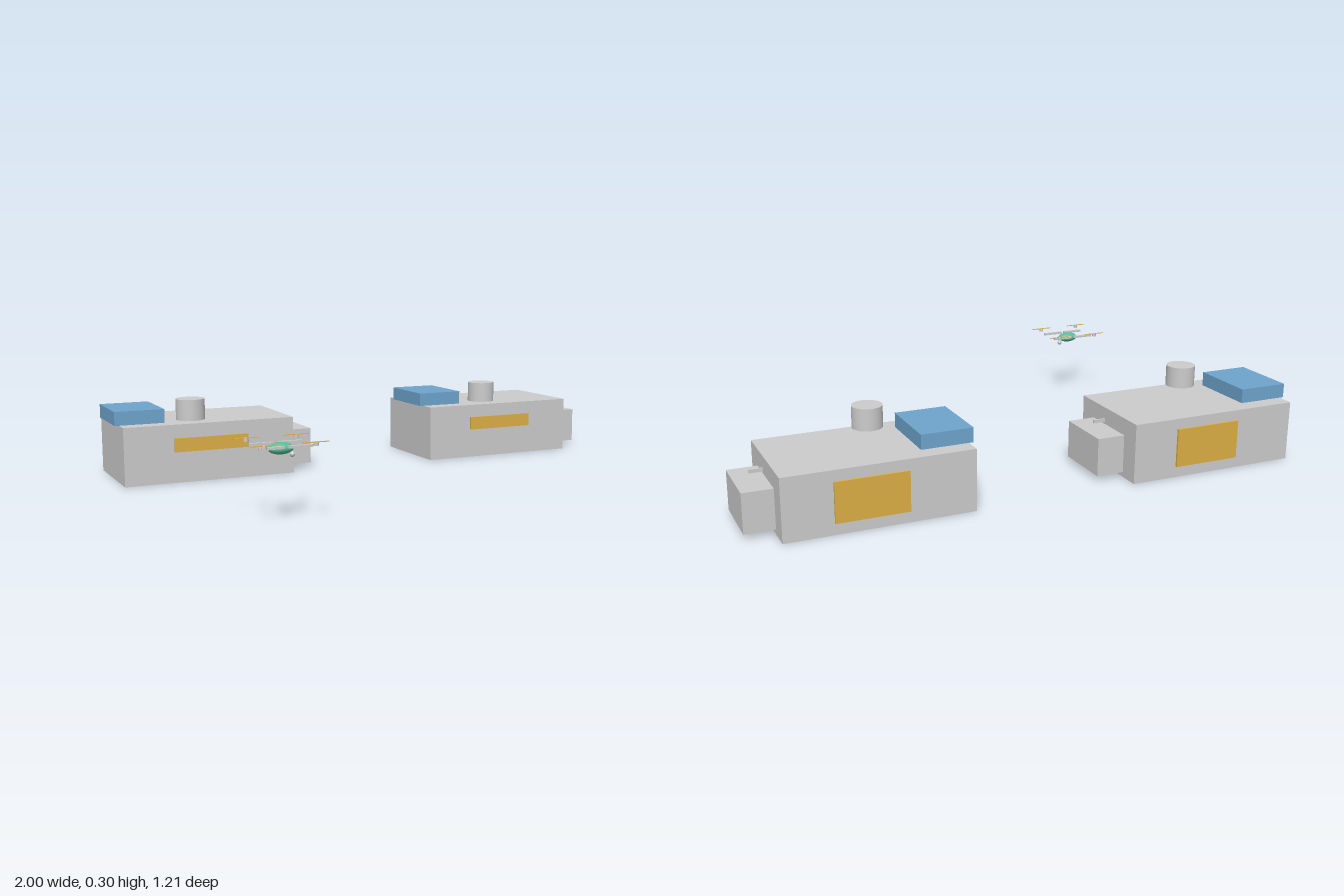
import * as THREE from 'three';

const mat = (color) => new THREE.MeshStandardMaterial({ color });
const grey = mat(0xcccccc);
const blue = mat(0x6ea4cc);
const yellow = mat(0xdcae45);
const green = mat(0x55bf98);

function add(parent, name, geometry, material, x, y, z) {
  const mesh = new THREE.Mesh(geometry, material);
  mesh.name = name;
  mesh.position.set(x, y, z);
  parent.add(mesh);
  return mesh;
}

// Box given by its extents along each axis
function box(parent, name, material, [x0, x1], [y0, y1], [z0, z1]) {
  return add(parent, name, new THREE.BoxGeometry(x1 - x0, y1 - y0, z1 - z0), material,
    (x0 + x1) / 2, (y0 + y1) / 2, (z0 + z1) / 2);
}

// Building module; x is measured from the middle of the main hall
function createBuilding() {
  const g = new THREE.Group();
  g.name = 'building';
  box(g, 'mainHall', grey, [-0.322, 0.322], [0, 0.215], [-0.598, -0.227]);
  box(g, 'sideAnnex', grey, [0.322, 0.424], [0.018, 0.154], [-0.522, -0.306]);
  box(g, 'roofUnit', blue, [-0.338, -0.155], [0.215, 0.266], [-0.536, -0.29]);
  box(g, 'frontPanel', yellow, [-0.138, 0.142], [0.114, 0.165], [-0.227, -0.22]);
  box(g, 'rearPanel', yellow, [-0.093, 0.155], [0.04, 0.178], [-0.606, -0.598]);
  box(g, 'sideBracket', grey, [0.322, 0.367], [0.162, 0.174], [-0.387, -0.381]);
  add(g, 'roofVent', new THREE.CylinderGeometry(0.053, 0.053, 0.077, 32), grey, -0.062, 0.2635, -0.275);
  return g;
}

// Quadcopter; x and z are measured from the middle of its body
function createDrone() {
  const g = new THREE.Group();
  g.name = 'drone';
  add(g, 'droneBody', new THREE.SphereGeometry(1, 24, 16), green, 0, 0.232, 0).scale.set(0.042, 0.019, 0.027);
  add(g, 'droneCamera', new THREE.SphereGeometry(0.009, 16, 12), grey, 0.038, 0.211, 0);
  for (const sx of [-1, 1]) {
    for (const sz of [-1, 1]) {
      add(g, 'arm', new THREE.BoxGeometry(0.082, 0.008, 0.011), grey, sx * 0.047, 0.242, sz * 0.046);
      const x = sx * 0.084, z = sz * 0.085;
      add(g, 'motor', new THREE.CylinderGeometry(0.008, 0.008, 0.01, 16), grey, x, 0.252, z);
      add(g, 'rotorBlade', new THREE.BoxGeometry(0.086, 0.002, 0.007), yellow, x, 0.258, z);
      add(g, 'rotorHub', new THREE.SphereGeometry(0.006, 12, 8), yellow, x, 0.257, z).scale.y = 0.7;
    }
  }
  return g;
}

export function createModel() {
  const model = new THREE.Group();
  model.name = 'buildingsWithDrone';
  for (const x of [-0.662, 0.574]) {
    const building = createBuilding();
    building.position.x = x;
    model.add(building);
  }
  const drone = createDrone();
  drone.position.set(-0.664, 0, 0.513);
  model.add(drone);
  return model;
}
